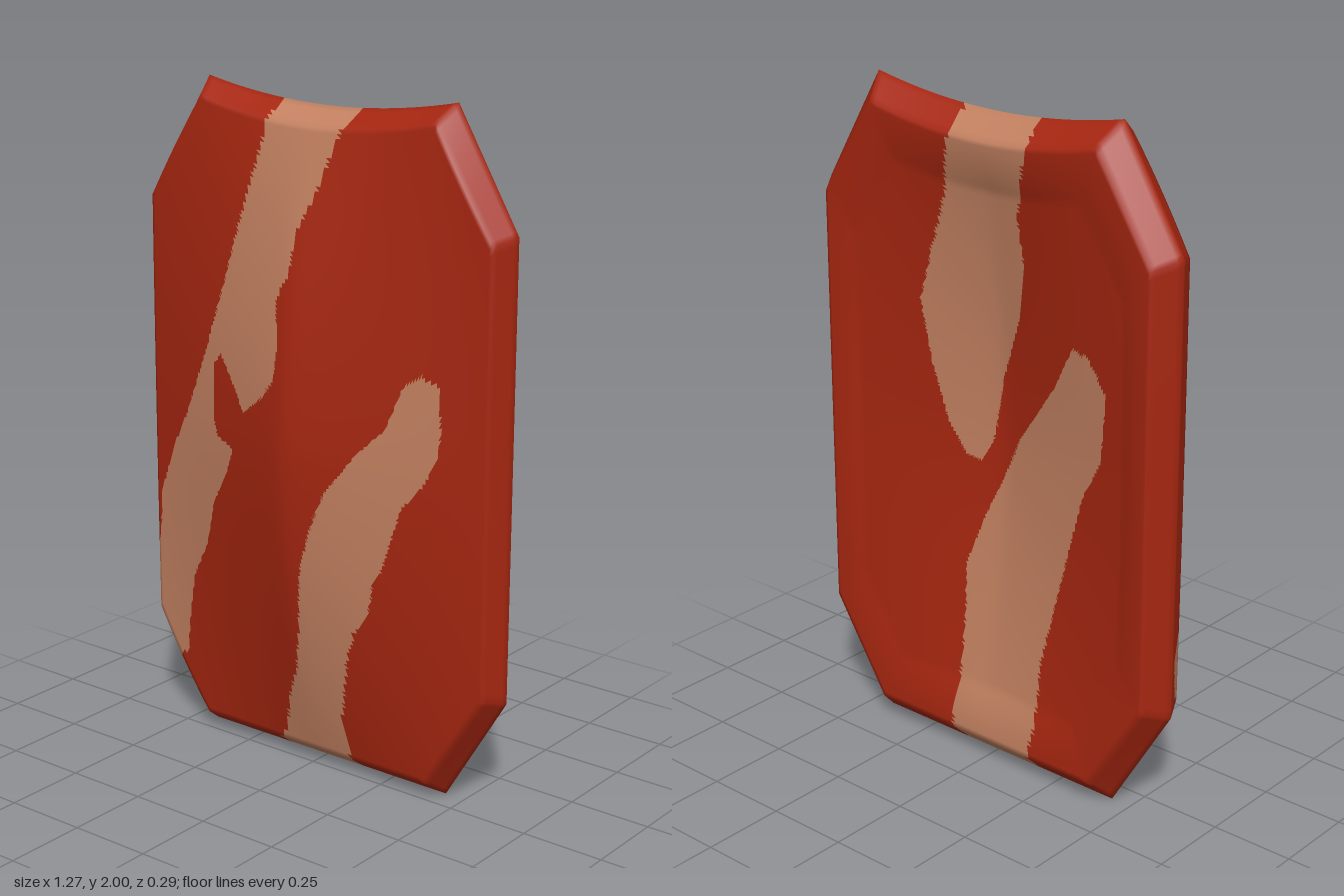
import * as THREE from 'three';

const RIDGE = 0.148, RINGS = 70, BEVEL = 5;

// Height of the ridged shield face above its rim plane
function bulge(x, y) {
  const p = Math.max(0, 1 - Math.pow(Math.abs(y - 1) / 0.95, 1.8));
  const side = Math.max(0, 1 - (Math.hypot(x, 0.03) - 0.02) / 0.6);
  return RIDGE * p * side;
}

// Eight-sided outline with a dipped top: a = half width, s = side corner height,
// b = half width of top and bottom, m = margin at top and bottom
function outline(a, s, b, m) {
  const quarter = [[0, m], [b, m], [a, s], [a, 2 - s], [b, 2 - m], [0, 2 - m]];
  const counts = [22, 24, 60, 24, 22];
  const right = [];
  counts.forEach((n, e) => {
    const [p, q] = [quarter[e], quarter[e + 1]];
    for (let i = 0; i < n; i++) {
      const t = i / n;
      const x = p[0] + (q[0] - p[0]) * t, y = p[1] + (q[1] - p[1]) * t;
      right.push([x, e === 4 ? y - 0.047 * (1 - (x / b) ** 2) : y]);
    }
  });
  const left = right.slice(1).reverse().map(([x, y]) => [-x, y]);
  return [...right, [0, 2 - m - 0.047], ...left];
}

// Stripe outlines as x, y pairs
const frontStripes = [
  [-0.155, 2.1, -0.155, 1.96, -0.17, 1.83, -0.21, 1.68, -0.24, 1.56, -0.28, 1.42, -0.35, 1.22, -0.44, 1.02,
    -0.51, 0.9, -0.58, 0.74, -0.59, 0.6, -0.62, 0.5, -0.615, 0.38, -0.52, 0.22, -0.48, 0.24, -0.46, 0.38,
    -0.43, 0.51, -0.36, 0.63, -0.32, 0.77, -0.25, 0.88, -0.22, 0.96, -0.29, 0.98, -0.31, 1.03, -0.31, 1.19,
    -0.28, 1.23, -0.23, 1.17, -0.17, 1.08, -0.09, 1.14, -0.04, 1.2, -0.03, 1.3, -0.05, 1.43, -0.01, 1.5,
    0, 1.62, 0.05, 1.73, 0.08, 1.83, 0.12, 1.95, 0.12, 2.1],
  [-0.14, -0.1, -0.14, 0.03, -0.09, 0.09, -0.06, 0.2, -0.01, 0.32, 0.02, 0.46, 0.04, 0.64, 0.08, 0.78,
    0.13, 0.9, 0.22, 1.02, 0.31, 1.11, 0.36, 1.24, 0.41, 1.27, 0.46, 1.25, 0.47, 1.12, 0.46, 1.04,
    0.42, 0.96, 0.36, 0.89, 0.33, 0.8, 0.3, 0.7, 0.27, 0.65, 0.25, 0.55, 0.2, 0.48, 0.17, 0.38,
    0.15, 0.27, 0.13, 0.18, 0.14, 0.07, 0.13, -0.1],
];
const backStripes = [
  [0.11, 2.1, 0.11, 1.9, 0.16, 1.7, 0.21, 1.56, 0.27, 1.37, 0.24, 1.18, 0.19, 1.01, 0.13, 0.92,
    0.08, 0.91, 0.04, 0.98, 0, 1.18, -0.08, 1.39, -0.11, 1.53, -0.1, 1.68, -0.16, 1.88, -0.16, 2.1],
  [0.13, -0.1, 0.11, 0.2, 0.11, 0.43, 0.12, 0.58, 0.06, 0.75, -0.06, 1.01, -0.21, 1.21, -0.29, 1.35,
    -0.35, 1.34, -0.42, 1.25, -0.4, 1.05, -0.33, 0.925, -0.28, 0.75, -0.23, 0.545, -0.19, 0.37,
    -0.19, 0.16, -0.14, -0.1],
];

function inside(poly, x, y) {
  let hit = false;
  const n = poly.length;
  for (let i = 0, j = n - 2; i < n; j = i, i += 2) {
    if ((poly[i + 1] > y) !== (poly[j + 1] > y) &&
      x < poly[i] + (poly[j] - poly[i]) * (y - poly[i + 1]) / (poly[j + 1] - poly[i + 1])) hit = !hit;
  }
  return hit;
}

export function createModel() {
  const frontRim = outline(0.6, 0.355, 0.41, 0.05).map(([x, y]) => [x, y, bulge(x, y)]);
  const outerRim = outline(0.635, 0.335, 0.435, 0).map(([x, y]) => [x, y, -0.07]);
  const backRim = outline(0.585, 0.36, 0.4, 0.07).map(([x, y]) => [x, y, -0.145]);

  // Cross-section loops from the front centre, round the rim, to the back centre
  const loops = [];
  const shrink = (loop, t, z) => loop.map(([x, y]) => {
    const px = x * t, py = 1 + (y - 1) * t;
    return [px, py, z(px, py)];
  });
  const blend = (p, q, t) => p.map((v, i) => v.map((c, k) => c + (q[i][k] - c) * t));
  for (let i = 0; i < RINGS; i++) loops.push(shrink(frontRim, i / RINGS, bulge));
  for (let i = 0; i < BEVEL; i++) loops.push(blend(frontRim, outerRim, i / BEVEL));
  const frontEnd = loops.length;
  for (let i = 0; i < BEVEL; i++) loops.push(blend(outerRim, backRim, i / BEVEL));
  for (let i = RINGS; i >= 0; i--) {
    const t = i / RINGS;
    loops.push(shrink(backRim, t, (x, y) => -0.145 + 0.75 * bulge(x, y) * Math.min(1, (1 - t) * 6)));
  }

  // Skin the loops, sorting faces into red hide and tan stripes
  const n = frontRim.length, points = loops.flat();
  const red = [], tan = [];
  const face = (stripes, ...ids) => {
    const cx = ids.reduce((s, i) => s + points[i][0], 0) / 3;
    const cy = ids.reduce((s, i) => s + points[i][1], 0) / 3;
    (stripes.some((p) => inside(p, cx, cy)) ? tan : red).push(...ids);
  };
  for (let r = 0; r < loops.length - 1; r++) {
    const stripes = r < frontEnd ? frontStripes : backStripes;
    for (let j = 0; j < n; j++) {
      const k = (j + 1) % n;
      const a = r * n + j, b = a + n, c = (r + 1) * n + k, d = r * n + k;
      if (r < loops.length - 2) face(stripes, a, b, c);
      if (r > 0) face(stripes, a, c, d);
    }
  }

  const geometry = new THREE.BufferGeometry();
  geometry.setAttribute('position', new THREE.Float32BufferAttribute(points.flat(), 3));
  geometry.setIndex([...red, ...tan]);
  geometry.addGroup(0, red.length, 0);
  geometry.addGroup(red.length, tan.length, 1);
  geometry.computeVertexNormals();

  const redPaint = new THREE.MeshStandardMaterial({ color: 0xa62610 });
  redPaint.name = 'red';
  const tanPaint = new THREE.MeshStandardMaterial({ color: 0xc28060 });
  tanPaint.name = 'tan';

  const shield = new THREE.Mesh(geometry, [redPaint, tanPaint]);
  shield.name = 'shieldPlate';
  const group = new THREE.Group();
  group.name = 'shield';
  group.add(shield);
  return group;
}
